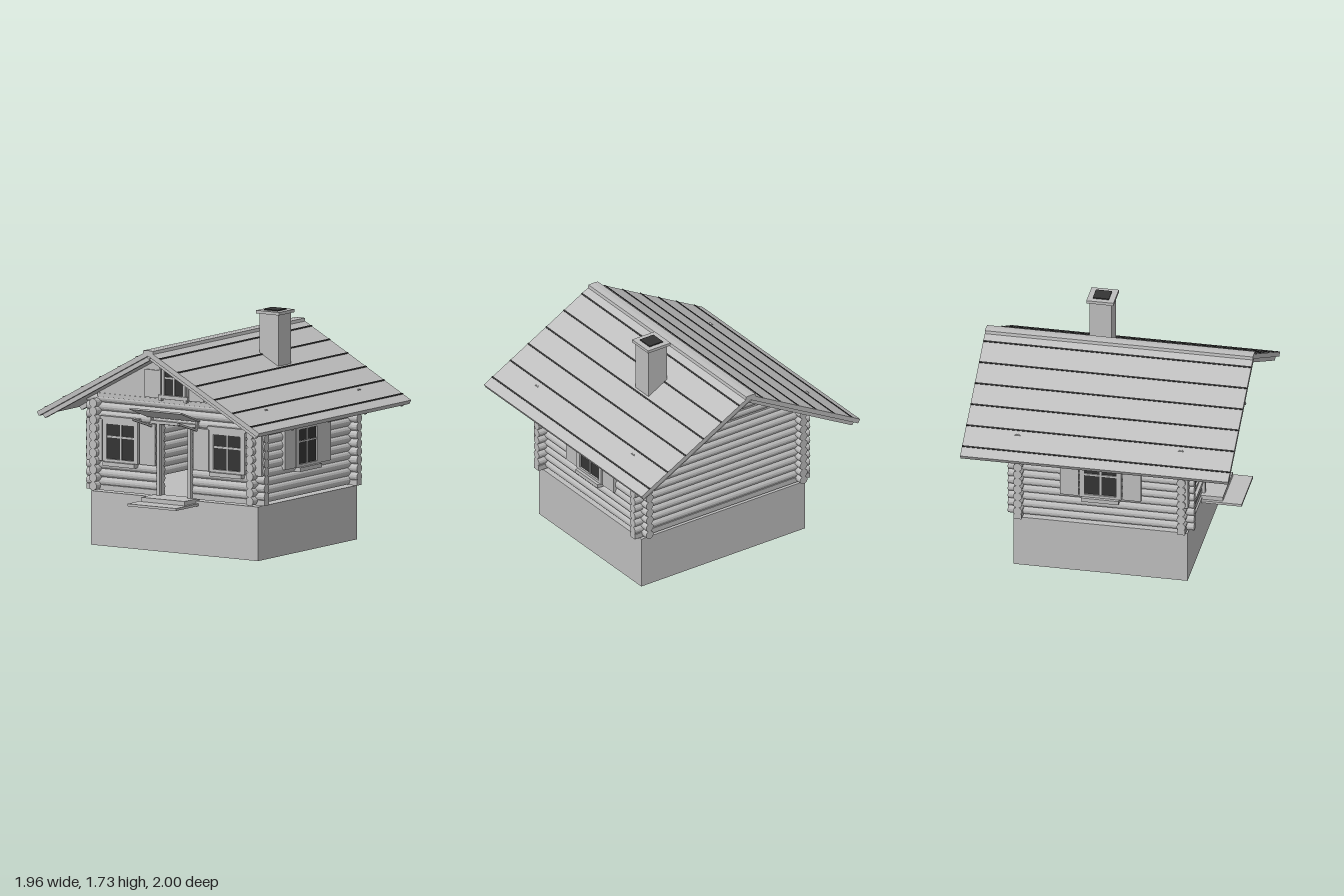
import * as THREE from 'three';

const grey = new THREE.MeshStandardMaterial({ color: 0xbdbdbd });
grey.name = 'plainGrey';
const dark = new THREE.MeshStandardMaterial({ color: 0x343434 });
dark.name = 'darkGrey';

const SLOPE = 0.543, APEX = 1.54, PITCH = 0.0615, LOG_R = 0.033;
const SIDE_X = 0.69, FRONT_Z = 0.61;

function add(parent, name, geometry, material = grey) {
  const mesh = new THREE.Mesh(geometry, material);
  mesh.name = name;
  parent.add(mesh);
  return mesh;
}

// Box given by its limits on each axis
function box(parent, name, x0, x1, y0, y1, z0, z1, material = grey) {
  const mesh = add(parent, name, new THREE.BoxGeometry(x1 - x0, y1 - y0, z1 - z0), material);
  mesh.position.set((x0 + x1) / 2, (y0 + y1) / 2, (z0 + z1) / 2);
  return mesh;
}

// Polygon in x and y, extruded from z0 to z1
function slab(parent, name, points, z0, z1) {
  const shape = new THREE.Shape(points.map(([x, y]) => new THREE.Vector2(x, y)));
  const geometry = new THREE.ExtrudeGeometry(shape, { depth: z1 - z0, bevelEnabled: false });
  geometry.translate(0, 0, z0);
  return add(parent, name, geometry);
}

// Right half of an outline, completed by mirroring
const mirrored = (top, edge, bottom) =>
  [top, ...edge, bottom, ...edge.map(([x, y]) => [-x, y]).reverse()];

// Triangle from height y0 up to the roof underside
const gableOutline = (y0) => {
  const top = APEX - 0.035, half = (top - y0) / SLOPE;
  return [[-half, y0], [half, y0], [0, top]];
};

// Faceted log along x or z
function log(parent, name, axis, from, to, y, offset) {
  const geometry = new THREE.CylinderGeometry(LOG_R, LOG_R, to - from, 14).toNonIndexed();
  geometry.computeVertexNormals();
  if (axis === 'x') geometry.rotateZ(Math.PI / 2);
  else geometry.rotateX(Math.PI / 2);
  const mesh = add(parent, name, geometry);
  const mid = (from + to) / 2;
  if (axis === 'x') mesh.position.set(mid, y, offset);
  else mesh.position.set(offset, y, mid);
}

function buildLogWalls(house) {
  const walls = new THREE.Group();
  walls.name = 'logWalls';
  house.add(walls);
  for (let i = 0; i <= 10; i++) {
    const y = 0.443 + i * PITCH;
    for (const s of [-1, 1]) log(walls, 'sideLog', 'z', -0.695, 0.695, y, s * SIDE_X);
  }
  // Front and back courses sit half a log higher; the back ones fill its gable
  for (let i = 0; i <= 16; i++) {
    const y = 0.474 + i * PITCH;
    const reach = y < 1.1 ? 0.785 : (APEX - 0.035 - y) / SLOPE;
    log(walls, 'backLog', 'x', -reach, reach, y, -FRONT_Z);
    if (y > 1.13) continue;
    if (y < 0.95) {
      log(walls, 'frontLog', 'x', -reach, -0.13, y, FRONT_Z);
      log(walls, 'frontLog', 'x', 0.13, reach, y, FRONT_Z);
    } else log(walls, 'frontLog', 'x', -reach, reach, y, FRONT_Z);
  }
  slab(walls, 'backGableCore', gableOutline(1.08), -FRONT_Z - 0.022, -FRONT_Z + 0.022);
  // Low sill course under the front and back walls
  box(walls, 'backSillCourse', -0.785, 0.785, 0.41, 0.45, -FRONT_Z - 0.03, -FRONT_Z + 0.03);
  box(walls, 'frontSillCourse', -0.785, -0.13, 0.41, 0.45, FRONT_Z - 0.03, FRONT_Z + 0.03);
  box(walls, 'frontSillCourse', 0.13, 0.785, 0.41, 0.45, FRONT_Z - 0.03, FRONT_Z + 0.03);
}

// Window with shutters, facing +z, its back on z = 0
function buildWindow(parent, name) {
  const w = new THREE.Group();
  w.name = name;
  parent.add(w);
  box(w, 'windowGlass', -0.125, 0.125, 0.645, 0.912, 0, 0.008, dark);
  for (const s of [-1, 1]) {
    const mid = s * 0.137, shutter = s * 0.2335;
    box(w, 'frameUpright', mid - 0.018, mid + 0.018, 0.63, 0.94, -0.02, 0.022);
    box(w, 'shutter', shutter - 0.0685, shutter + 0.0685, 0.63, 0.94, -0.02, 0.016);
  }
  box(w, 'frameTop', -0.12, 0.12, 0.906, 0.94, -0.02, 0.022);
  box(w, 'frameBottom', -0.12, 0.12, 0.63, 0.65, -0.02, 0.022);
  box(w, 'glazingBar', -0.007, 0.007, 0.65, 0.908, 0, 0.016);
  box(w, 'glazingBar', -0.12, 0.12, 0.808, 0.822, 0, 0.016);
  box(w, 'lintel', -0.17, 0.17, 0.94, 0.967, -0.02, 0.03);
  box(w, 'windowSill', -0.14, 0.14, 0.6, 0.63, -0.02, 0.045);
  return w;
}

function buildDoorway(house) {
  const door = new THREE.Group();
  door.name = 'doorway';
  house.add(door);
  for (const s of [-1, 1]) {
    box(door, 'doorPost', s * 0.137 - 0.014, s * 0.137 + 0.014, 0.41, 0.95, 0.63, 0.665);
    // Sloping bracket under the canopy
    const brace = add(door, 'canopyBrace', new THREE.BoxGeometry(0.015, 0.015, 0.25));
    brace.position.set(s * 0.2, 0.962, 0.78);
    brace.rotation.x = -Math.atan2(0.075, 0.24);
    box(door, 'braceMount', s * 0.2 - 0.008, s * 0.2 + 0.008, 0.92, 1.0, 0.64, 0.665);
  }
  box(door, 'doorLintel', -0.2, 0.2, 0.945, 0.968, 0.63, 0.67);
  const canopy = add(door, 'canopy', new THREE.BoxGeometry(0.46, 0.012, 0.26));
  canopy.position.set(0, 1.037, 0.78);
  canopy.rotation.x = -Math.atan2(0.085, 0.24);
  box(door, 'upperStep', -0.19, 0.19, 0.383, 0.415, 0.6, 0.805);
  box(door, 'lowerStep', -0.213, 0.213, 0.365, 0.383, 0.64, 0.95);
}

function buildFrontGable(house) {
  const gable = new THREE.Group();
  gable.name = 'frontGable';
  house.add(gable);
  slab(gable, 'gableBoards', gableOutline(1.13), 0.6, 0.645);
  box(gable, 'gableBaseBoard', -0.68, 0.68, 1.1, 1.13, 0.6, 0.65);
  // Attic window between plain shutters
  box(gable, 'atticGlass', -0.085, 0.085, 1.16, 1.362, 0.645, 0.653, dark);
  for (const s of [-1, 1]) {
    box(gable, 'atticUpright', s * 0.092 - 0.01, s * 0.092 + 0.01, 1.145, 1.375, 0.64, 0.668);
    box(gable, 'atticPost', s * 0.125 - 0.006, s * 0.125 + 0.006, 1.13, 1.4, 0.64, 0.66);
    box(gable, 'atticShutter', s * 0.195 - 0.064, s * 0.195 + 0.064, 1.135, 1.34, 0.64, 0.658);
    box(gable, 'sillBlock', s * 0.11 - 0.012, s * 0.11 + 0.012, 1.12, 1.14, 0.64, 0.68);
  }
  box(gable, 'atticTop', -0.1, 0.1, 1.355, 1.375, 0.64, 0.668);
  box(gable, 'atticSill', -0.13, 0.13, 1.135, 1.163, 0.64, 0.675);
  box(gable, 'atticBar', -0.006, 0.006, 1.16, 1.36, 0.645, 0.66);
  box(gable, 'atticBar', -0.085, 0.085, 1.284, 1.296, 0.645, 0.66);
}

function buildRoof(house) {
  const roof = new THREE.Group();
  roof.name = 'roof';
  house.add(roof);
  slab(roof, 'roofSlab', mirrored([0, APEX], [[0.98, 1.008], [0.962, 0.978]], [0, APEX - 0.04]), -1, 1);
  slab(roof, 'ridgeCap', mirrored([0, 1.541], [[0.042, 1.538], [0.047, 1.51]], [0, 1.53]), -1, 1);
  for (const z of [-0.96, -0.48, 0, 0.48, 0.96])
    slab(roof, 'rafter', mirrored([0, 1.502], [[0.945, 0.988], [0.925, 0.962]], [0, 1.465]),
      z - 0.014, z + 0.014);
  const beam = box(roof, 'ridgeBeam', -0.013, 0.013, 1.477, 1.503, -0.99, 0.99);
  beam.rotation.z = Math.PI / 4;
  // Dark seams running along each slope
  for (const s of [-1, 1])
    for (let i = 0; i < 6; i++) {
      const x = 0.102 + i * 0.1605;
      const seam = add(roof, 'roofSeam', new THREE.BoxGeometry(0.012, 0.009, 2), dark);
      seam.position.set(s * x, APEX - SLOPE * x, 0);
      seam.rotation.z = -s * Math.atan(SLOPE);
    }
}

function buildChimney(house) {
  const chimney = new THREE.Group();
  chimney.name = 'chimney';
  house.add(chimney);
  box(chimney, 'chimneyStack', 0.24, 0.405, 1.25, 1.7, -0.275, -0.11);
  box(chimney, 'chimneyCap', 0.22, 0.423, 1.7, 1.722, -0.295, -0.092);
  box(chimney, 'flueOpening', 0.262, 0.382, 1.722, 1.73, -0.255, -0.135, dark);
}

export function createModel() {
  const house = new THREE.Group();
  house.name = 'logCabin';
  box(house, 'foundation', -0.735, 0.735, 0, 0.4, -0.65, 0.65);
  buildLogWalls(house);
  for (const s of [-1, 1]) {
    buildWindow(house, 'frontWindow').position.set(s * 0.47, 0, FRONT_Z + LOG_R);
    const side = buildWindow(house, 'sideWindow');
    side.position.x = s * (SIDE_X + LOG_R);
    side.rotation.y = s * Math.PI / 2;
  }
  buildDoorway(house);
  buildFrontGable(house);
  buildRoof(house);
  buildChimney(house);
  return house;
}
